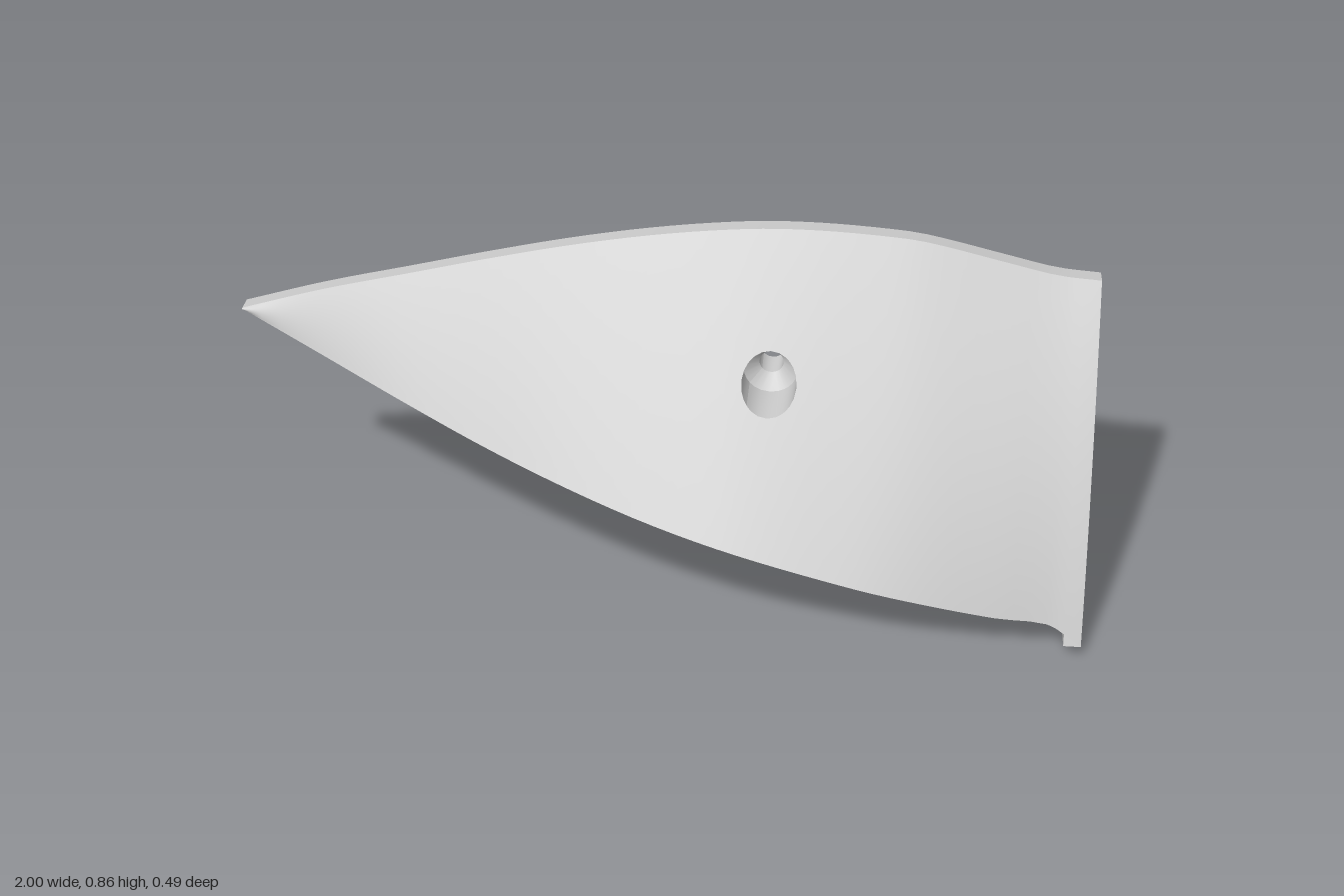
import * as THREE from 'three';
import { mergeGeometries, mergeVertices } from 'three/addons/utils/BufferGeometryUtils.js';

const { lerp } = THREE.MathUtils;
const material = new THREE.MeshStandardMaterial({ color: 0xcccccc, side: THREE.DoubleSide });

// Smooth interpolation through [x, value] pairs
function curve(pts) {
  const slope = i => {
    const a = pts[Math.max(i - 1, 0)], b = pts[Math.min(i + 1, pts.length - 1)];
    return (b[1] - a[1]) / (b[0] - a[0]);
  };
  return x => {
    let i = 0;
    while (i < pts.length - 2 && x > pts[i + 1][0]) i++;
    const h = pts[i + 1][0] - pts[i][0], t = (x - pts[i][0]) / h, s = 1 - t;
    return pts[i][1] * (1 + 2 * t) * s * s + slope(i) * h * t * s * s
      + pts[i + 1][1] * t * t * (3 - 2 * t) - slope(i + 1) * h * t * t * s;
  };
}

// Outline of the panel: top and bottom edges, and their depth
const topY = curve([[-1, 0.59], [-0.8, 0.65], [-0.6, 0.7], [-0.4, 0.75], [-0.2, 0.795], [0, 0.83],
  [0.2, 0.852], [0.35, 0.856], [0.5, 0.85], [0.6, 0.84], [0.8, 0.795], [0.9, 0.773], [1, 0.765]]);
const topZ = curve([[-1, -0.185], [0, -0.2], [0.3, -0.203], [1, -0.195]]);
const bottomY = curve([[-1, 0.587], [-0.8, 0.51], [-0.6, 0.445], [-0.4, 0.38], [-0.2, 0.33], [0, 0.285],
  [0.2, 0.245], [0.4, 0.2], [0.6, 0.152], [0.8, 0.1], [0.92, 0.077], [0.96, 0.055], [1, 0.028]]);
const bottomZ = curve([[-1, -0.185], [-0.8, -0.12], [-0.6, -0.038], [-0.4, 0.037], [-0.2, 0.115], [0, 0.18],
  [0.2, 0.226], [0.45, 0.245], [0.6, 0.24], [0.8, 0.212], [0.92, 0.192], [1, 0.205]]);

// Point of the front (back = 0) or back (back = 1) surface, v runs bottom to top
function surface(x, v, back = 0) {
  const bulge = 0.005 + 0.027 * THREE.MathUtils.smoothstep(x, 0.4, 1);
  const z = lerp(bottomZ(x), topZ(x), v) + bulge * 4 * v * (1 - v);
  return [x, lerp(bottomY(x), topY(x), v) - 0.003 * back, z - 0.045 * back];
}
const vAt = (x, y) => (y - bottomY(x)) / (topY(x) - bottomY(x));
const surfaceXY = (x, y, back = 0) => surface(x, vAt(x, y), back);

// Grid of quads from point(i, j), leaving out cells where skip(i, j)
function grid(nu, nv, point, skip = () => false, flip = false) {
  const pos = [], index = [];
  for (let j = 0; j <= nv; j++) for (let i = 0; i <= nu; i++) pos.push(...point(i, j));
  for (let j = 0; j < nv; j++) for (let i = 0; i < nu; i++) {
    if (skip(i, j)) continue;
    const a = j * (nu + 1) + i, b = a + 1, d = a + nu + 1, c = d + 1;
    index.push(...(flip ? [a, c, b, a, d, c] : [a, b, c, a, c, d]));
  }
  const g = new THREE.BufferGeometry();
  g.setAttribute('position', new THREE.Float32BufferAttribute(pos, 3));
  g.setIndex(index);
  g.computeVertexNormals();
  return g;
}

function steps(stops) { // [[start, count], ..., [end]]
  const out = [];
  for (let k = 0; k < stops.length - 1; k++)
    for (let i = 0; i < stops[k][1]; i++) out.push(lerp(stops[k][0], stops[k + 1][0], i / stops[k][1]));
  return [...out, stops.at(-1)[0]];
}

// Grid lines with a 6 x 6 patch reserved around the screw hole
const N = 6, HOLE = { x: 0.26, y: 0.565, R: 0.063, r: 0.028 };
const xs = steps([[-1, 24], [0.16, N], [0.36, 14], [0.92, 4], [1]]);
const vs = steps([[0, 6], [0.38, N], [0.7, 5], [1]]);
const i0 = 24, j0 = 6;
const inPatch = (i, j) => i >= i0 && i < i0 + N && j >= j0 && j < j0 + N;

// Patch border, counter-clockwise, and the matching angles on the hole
const border = [];
for (let k = 0; k <= 4 * N; k++) {
  const side = Math.floor(k / N) % 4, t = k % N;
  const [i, j] = [[t, 0], [N, t], [N - t, N], [0, N - t]][side];
  const [x, y] = surface(xs[i0 + i], vs[j0 + j]);
  border.push({ x, y, angle: Math.atan2(y - HOLE.y, x - HOLE.x) });
}
const onHole = (k, r) => [HOLE.x + r * Math.cos(border[k].angle), HOLE.y + r * Math.sin(border[k].angle)];

function panelSheet(back) {
  const sheet = grid(xs.length - 1, vs.length - 1, (i, j) => surface(xs[i], vs[j], back), inPatch, !!back);
  const ring = grid(4 * N, 3, (k, j) => {
    const [hx, hy] = onHole(k, HOLE.R);
    return surfaceXY(lerp(border[k].x, hx, j / 3), lerp(border[k].y, hy, j / 3), back);
  }, undefined, !!back);
  const g = mergeGeometries([sheet, ring]);
  g.deleteAttribute('normal');
  const joined = mergeVertices(g, 1e-5);
  joined.computeVertexNormals();
  return joined;
}

export function createModel() {
  const group = new THREE.Group();
  const add = (name, geometry) => {
    const mesh = new THREE.Mesh(geometry, material);
    mesh.name = name;
    group.add(mesh);
  };

  // Curved panel with its thin edges
  add('panelFront', panelSheet(0));
  add('panelBack', panelSheet(1));
  add('panelTopEdge', grid(xs.length - 1, 1, (i, j) => surface(xs[i], 1, j)));
  add('panelBottomEdge', grid(xs.length - 1, 1, (i, j) => surface(xs[i], 0, 1 - j)));
  add('panelTip', grid(1, 1, (i, j) => surface(-1, j, 1 - i)));

  // End plate following the panel's section
  const profile = [[-0.19, 0]];
  for (let k = 0; k <= 12; k++) {
    const [, y, z] = surface(1, k / 12);
    profile.push([z, y]);
  }
  profile.push([-0.24, 0.76]);
  const plate = new THREE.ExtrudeGeometry(
    new THREE.Shape(profile.map(([z, y]) => new THREE.Vector2(-z, y))), { depth: 0.04, bevelEnabled: false });
  plate.rotateY(Math.PI / 2).translate(0.96, 0, 0);
  add('endPlate', plate);

  // Mounting block behind the panel: slightly leaning back face and side walls
  const blockZ = y => -0.172 - 0.066 * (y - HOLE.y);
  const outline = [[0.97, 0.44], [0.97, 0.65], [-0.2, 0.625], [-0.21, 0.6], [0.21, 0.43]];
  const shape = new THREE.Shape(outline.map(p => new THREE.Vector2(...p)));
  shape.holes.push(new THREE.Path(border.slice(0, -1).map((_, k) => new THREE.Vector2(...onHole(k, HOLE.r)))));
  const face = new THREE.ShapeGeometry(shape);
  const pos = face.attributes.position;
  for (let i = 0; i < pos.count; i++) pos.setZ(i, blockZ(pos.getY(i)));
  face.index.array.reverse();
  face.computeVertexNormals();
  add('blockBack', face);
  outline.forEach((a, k) => {
    const b = outline[(k + 1) % outline.length];
    add('blockSide', grid(6, 1, (i, j) => {
      const x = lerp(a[0], b[0], i / 6), y = lerp(a[1], b[1], i / 6);
      return [x, y, j ? surfaceXY(x, y)[2] - 0.025 : blockZ(y)];
    }));
  });

  // Countersunk screw hole through panel and block
  const stages = [
    [HOLE.R, (x, y) => surfaceXY(x, y)[2]], [HOLE.R, () => -0.07],
    [HOLE.r, () => -0.1], [HOLE.r, (x, y) => blockZ(y)],
  ];
  ['holeWall', 'holeCountersink', 'holeBore'].forEach((name, s) => {
    add(name, grid(4 * N, 1, (k, j) => {
      const [r, z] = stages[s + j], [x, y] = onHole(k, r);
      return [x, y, z(x, y)];
    }));
  });

  return group;
}
